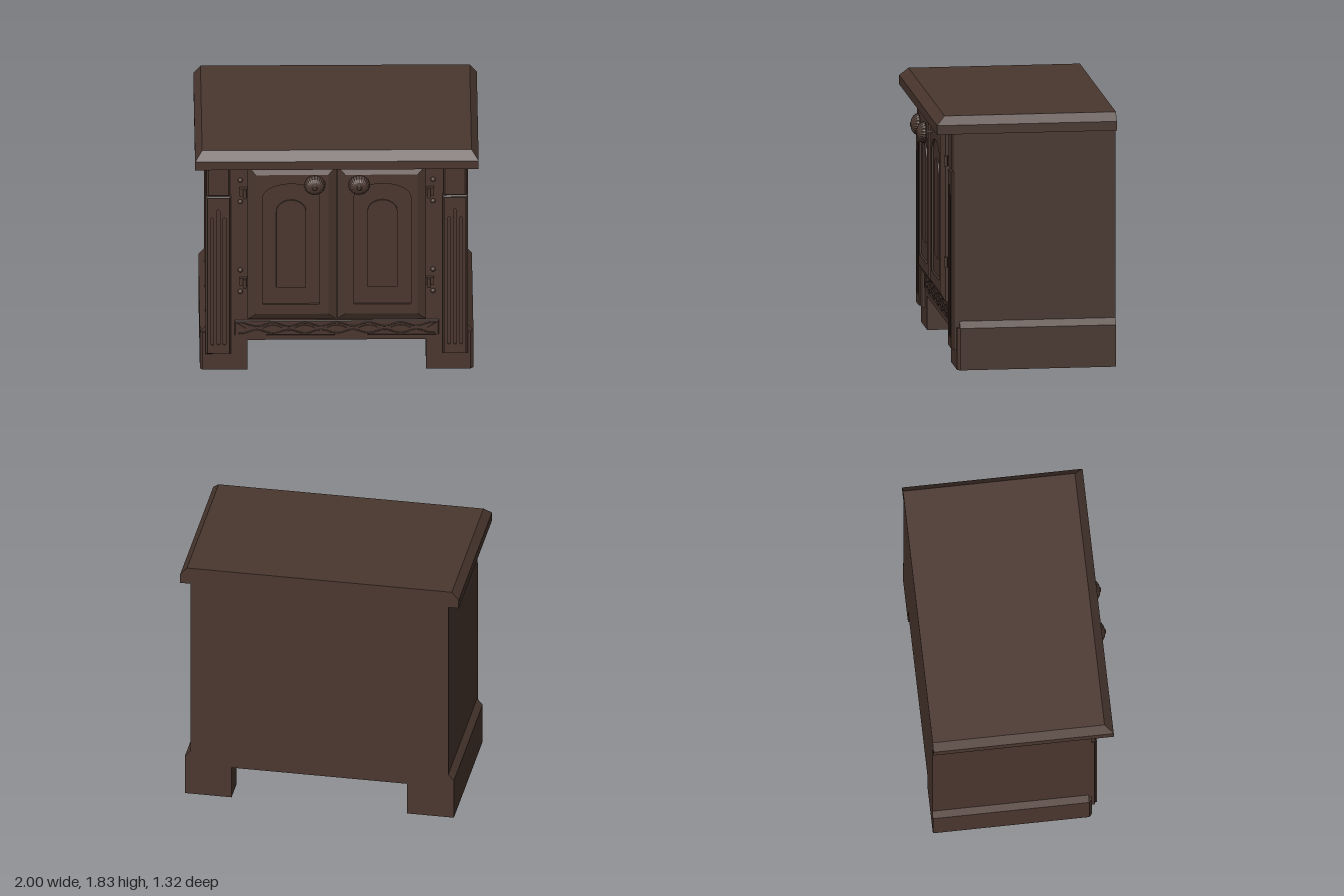
import * as THREE from 'three';

const wood = new THREE.MeshStandardMaterial({ color: 0x4a372f });
wood.name = 'darkWood';

function add(parent, name, geo, x = 0, y = 0, z = 0) {
  const m = new THREE.Mesh(geo, wood);
  m.name = name;
  m.position.set(x, y, z);
  parent.add(m);
  return m;
}

// apply a rule to every vertex, then facet the result
function reshape(geo, rule) {
  const p = geo.attributes.position;
  const v = new THREE.Vector3();
  for (let i = 0; i < p.count; i++) {
    v.fromBufferAttribute(p, i);
    rule(v);
    p.setXYZ(i, v.x, v.y, v.z);
  }
  const flat = geo.index ? geo.toNonIndexed() : geo;
  flat.computeVertexNormals();
  return flat;
}

// block straight from z0 to z1, then bevelled inwards up to z2
function bevelBlock(w, h, z0, z1, z2, inset) {
  return reshape(new THREE.BoxGeometry(w, h, 2, 1, 1, 2), v => {
    if (v.z > 0.5) {
      v.x -= Math.sign(v.x) * inset;
      v.y -= Math.sign(v.y) * inset;
      v.z = z2;
    } else v.z = v.z < -0.5 ? z0 : z1;
  });
}

const extrude = (shape, depth) =>
  new THREE.ExtrudeGeometry(shape, { depth, bevelEnabled: false, curveSegments: 20 });

const polygon = pts => new THREE.Shape(pts.map(p => new THREE.Vector2(...p)));

const rect = (w, h) => polygon([[-w / 2, -h / 2], [w / 2, -h / 2], [w / 2, h / 2], [-w / 2, h / 2]]);

// upright outline with a rounded top
function arch(cx, hw, y0, spring, rise) {
  const s = new THREE.Shape();
  s.moveTo(cx - hw, y0);
  s.lineTo(cx + hw, y0);
  s.lineTo(cx + hw, spring);
  s.absellipse(cx, spring, hw, rise, 0, Math.PI, false);
  s.lineTo(cx - hw, y0);
  return s;
}

function makeBase(side) {
  // plan of two block feet joined by a side skirt, front corner chamfered
  const plan = [[0.63, 0.47], [0.945, 0.47], [0.965, 0.45], [0.965, -0.66], [0.63, -0.66],
    [0.63, -0.48], [0.83, -0.48], [0.83, 0.29], [0.63, 0.29]];
  const g = new THREE.Group();
  g.name = side > 0 ? 'leftBase' : 'rightBase';
  add(g, 'feetAndSkirt', extrude(polygon(plan.map(([x, z]) => [x * side, -z])), 0.3)).rotation.x = -Math.PI / 2;
  const slope = polygon([[0.85, 0.3], [0.965, 0.3], [0.925, 0.345], [0.85, 0.345]].map(([x, y]) => [x * side, y]));
  add(g, 'skirtBevel', extrude(slope, 1.11), 0, 0, -0.66);
  return g;
}

function makePilaster(side) {
  const g = new THREE.Group();
  g.name = side > 0 ? 'leftPilaster' : 'rightPilaster';
  g.position.x = side * 0.835;
  add(g, 'pilasterCap', bevelBlock(0.165, 0.285, 0.44, 0.495, 0.505, 0.012), 0, 1.56, 0);
  add(g, 'pilasterShaft', bevelBlock(0.18, 1.28, 0.44, 0.49, 0.5, 0.012), 0, 0.78, 0);
  // fluted face
  const face = rect(0.156, 1.256);
  for (const [x, top] of [[-0.043, 0.46], [0, 0.525], [0.043, 0.46]]) {
    const hole = new THREE.Path();
    hole.moveTo(x - 0.01, -0.55);
    hole.absarc(x, -0.55, 0.01, Math.PI, Math.PI * 2, false);
    hole.absarc(x, top, 0.01, 0, Math.PI, false);
    hole.closePath();
    face.holes.push(hole);
  }
  add(g, 'flutedFace', extrude(face, 0.01), 0, 0.78, 0.5);
  return g;
}

function makeKnob() {
  const g = new THREE.Group();
  g.name = 'knob';
  const profile = [[0, 0.59], [0.072, 0.59], [0.077, 0.597], [0.073, 0.613], [0.06, 0.632],
    [0.04, 0.645], [0.02, 0.65], [0.014, 0.656], [0, 0.658]].map(p => new THREE.Vector2(...p));
  const dome = new THREE.LatheGeometry(profile, 48);
  // ribs around the dome
  const ribbed = reshape(dome, v => {
    const k = 1 + 0.025 * Math.cos(Math.atan2(v.z, v.x) * 24);
    v.x *= k;
    v.z *= k;
  });
  add(g, 'knobDome', ribbed).rotation.x = Math.PI / 2;
  const stem = new THREE.CylinderGeometry(0.008, 0.008, 0.08, 12);
  add(g, 'knobStem', stem, 0, 0, 0.555).rotation.x = Math.PI / 2;
  return g;
}

function makeHinge(side, y) {
  const g = new THREE.Group();
  g.name = 'hinge';
  g.position.set(side * 0.65, y, 0);
  add(g, 'hingeLeaf', new THREE.BoxGeometry(0.055, 0.06, 0.03), side * 0.008, 0, 0.48);
  add(g, 'hingeBarrel', new THREE.CylinderGeometry(0.013, 0.013, 0.075, 14), 0, 0, 0.512);
  for (const dy of [-0.087, 0.087]) {
    const stud = new THREE.SphereGeometry(0.018, 16, 6, 0, Math.PI * 2, 0, Math.PI / 2);
    add(g, 'hingeStud', stud, side * 0.03, dy, 0.47).rotation.x = Math.PI / 2;
  }
  return g;
}

function makeDoor(side) {
  const g = new THREE.Group();
  g.name = side > 0 ? 'leftDoor' : 'rightDoor';
  const cx = side * 0.315, px = side * 0.322, cy = 1.05;
  add(g, 'doorBack', bevelBlock(0.626, 1.24, 0.46, 0.51, 0.525, 0.03), cx, cy, 0);
  // bevelled frame around an arched recess
  const frame = rect(0.566, 1.18);
  frame.holes.push(arch(px - cx, 0.2, 0.565 - cy, 1.43 - cy, 0.11));
  const frameGeo = reshape(extrude(frame, 0.015), v => {
    if (v.z < 0.01) return;
    if (Math.abs(v.x) > 0.28) v.x -= Math.sign(v.x) * 0.028;
    if (Math.abs(v.y) > 0.58) v.y -= Math.sign(v.y) * 0.028;
  });
  add(g, 'doorFrame', frameGeo, cx, cy, 0.525);
  add(g, 'raisedPanel', extrude(arch(px, 0.105, 0.7, 1.31, 0.095), 0.011), 0, 0, 0.525);
  const knob = makeKnob();
  knob.position.set(side * 0.157, 1.565, 0);
  g.add(knob);
  return g;
}

function makeFrieze() {
  const g = new THREE.Group();
  g.name = 'carvedFrieze';
  add(g, 'friezePlate', bevelBlock(1.44, 0.12, 0.46, 0.474, 0.478, 0.005), 0, 0.34, 0);
  // two opposed wavy ribs
  for (const s of [-1, 1]) {
    const pts = [];
    for (let i = 0; i <= 48; i++) {
      const x = -0.7 + i * 1.4 / 48;
      pts.push(new THREE.Vector3(x, 0.34 + s * (0.028 + 0.014 * Math.cos(x * Math.PI * 2 / 0.225)), 0.478));
    }
    add(g, 'wavyRib', new THREE.TubeGeometry(new THREE.CatmullRomCurve3(pts), 96, 0.005, 6));
  }
  // pointed leaves between the ribs
  for (const x of [-0.45, -0.225, 0, 0.225, 0.45]) {
    const leaf = new THREE.Shape();
    leaf.moveTo(-0.07, 0);
    leaf.quadraticCurveTo(0, -0.045, 0.07, 0);
    leaf.quadraticCurveTo(0, 0.045, -0.07, 0);
    add(g, 'carvedLeaf', extrude(leaf, 0.007), x, 0.34, 0.477);
  }
  for (const s of [-1, 1]) {
    const tip = [[0.71, 0.385], [0.64, 0.34], [0.71, 0.295]].map(([x, y]) => [x * s, y]);
    add(g, 'carvedEnd', extrude(polygon(tip), 0.006), 0, 0, 0.477);
  }
  return g;
}

export function createModel() {
  const model = new THREE.Group();
  model.name = 'cabinet';

  add(model, 'carcass', new THREE.BoxGeometry(1.85, 1.46, 1.13), 0, 0.97, -0.095);

  // top slab, chamfered on the front and both ends
  const top = reshape(new THREE.BoxGeometry(2, 0.125, 1.28, 1, 2, 1), v => {
    if (Math.abs(v.y) < 0.01) v.y = 0.003;
    if (v.y > 0.05) {
      v.x *= 0.95;
      if (v.z > 0) v.z -= 0.06;
    }
  });
  add(model, 'topSlab', top, 0, 1.7625, -0.02);

  for (const side of [-1, 1]) {
    model.add(makeBase(side), makePilaster(side), makeDoor(side));
    for (const y of [0.72, 1.447]) model.add(makeHinge(side, y));
  }
  model.add(makeFrieze());
  return model;
}
